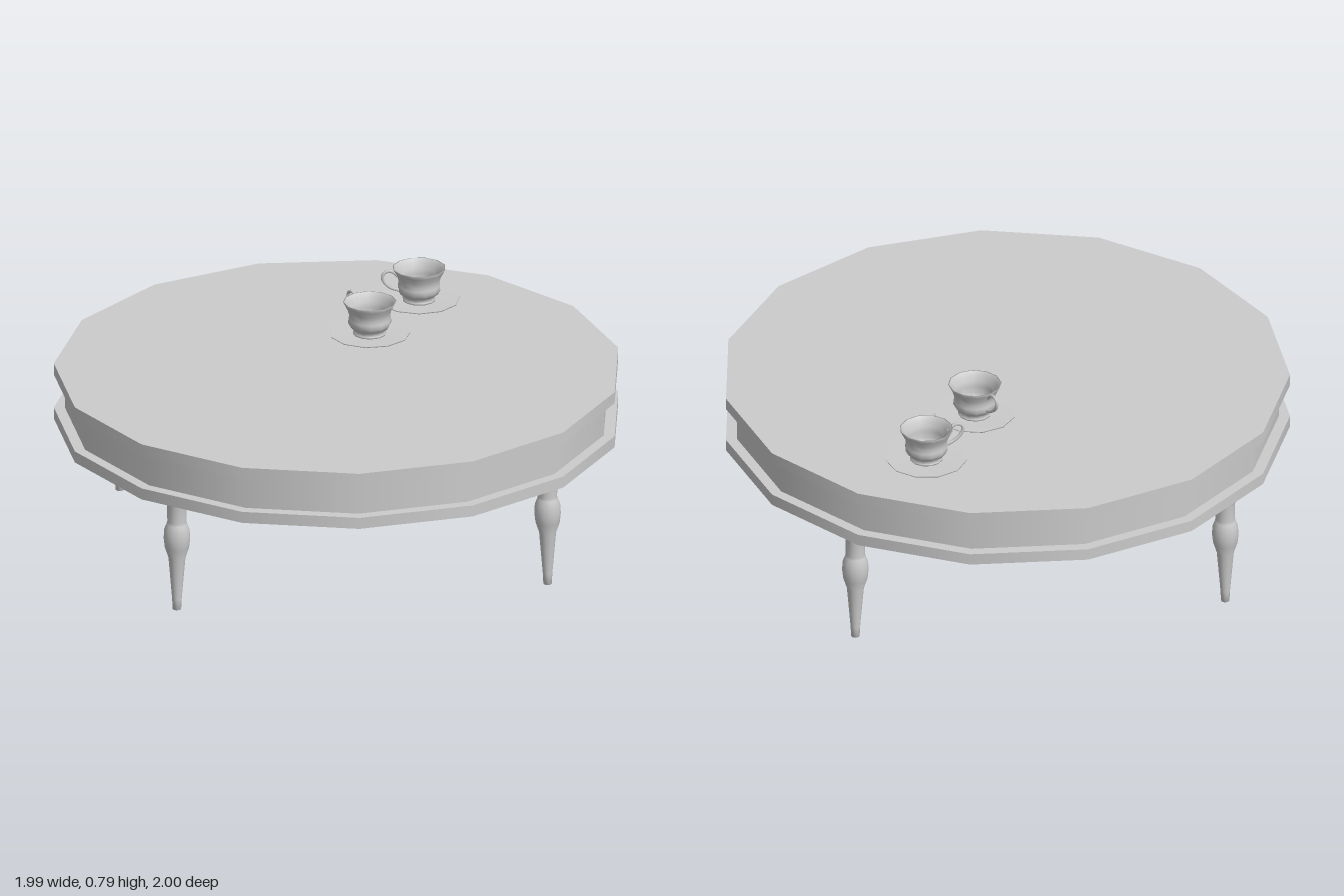
import * as THREE from 'three';

const material = new THREE.MeshStandardMaterial({ color: 0xcccccc });
const thin = new THREE.MeshStandardMaterial({ color: 0xcccccc, side: THREE.DoubleSide });

const CENTRE_X = -0.011;
const SIDES = 15;

function addMesh(parent, name, geometry, mat = material) {
  const mesh = new THREE.Mesh(geometry, mat);
  mesh.name = name;
  parent.add(mesh);
  return mesh;
}

function lathe(points, segments) {
  return new THREE.LatheGeometry(points.map(([r, y]) => new THREE.Vector2(r, y)), segments);
}

// Fifteen-sided disc with one corner pointing along +x
function addDisc(parent, name, radius, bottom, top) {
  const geometry = new THREE.CylinderGeometry(radius, radius, top - bottom, SIDES, 1, false, Math.PI / 2);
  addMesh(parent, name, geometry).position.set(CENTRE_X, (bottom + top) / 2, 0);
}

// Turned leg: tapered foot, vase-shaped swelling, collar rings at the top
const legProfile = [
  [0, 0], [0.015, 0], [0.017, 0.04], [0.03, 0.195], [0.043, 0.235], [0.047, 0.27],
  [0.045, 0.305], [0.037, 0.325], [0.034, 0.335], [0.035, 0.4], [0.041, 0.408],
  [0.041, 0.418], [0.037, 0.424], [0.041, 0.432], [0.041, 0.455],
];

// Cup wall: up the outside, over the rim and down the inside
const cupProfile = [
  [0, 0.004], [0.058, 0.004], [0.06, 0.012], [0.05, 0.019], [0.068, 0.031], [0.077, 0.047],
  [0.076, 0.062], [0.073, 0.075], [0.078, 0.094], [0.088, 0.114], [0.095, 0.127],
  [0.09, 0.127], [0.082, 0.112], [0.073, 0.094], [0.069, 0.075], [0.071, 0.05],
  [0.062, 0.034], [0.042, 0.024], [0, 0.021],
];

const saucerProfile = [
  [0, 0.001], [0.085, 0.001], [0.144, 0.007], [0.144, 0.011], [0.085, 0.005], [0, 0.005],
];

// Ear-shaped handle, pointing along local +x
const handlePath = new THREE.CatmullRomCurve3([
  [0.08, 0.104], [0.095, 0.12], [0.115, 0.127], [0.132, 0.117],
  [0.135, 0.1], [0.122, 0.077], [0.1, 0.06], [0.075, 0.05],
].map(([x, y]) => new THREE.Vector3(x, y, 0)));

function makeCup(name, x, z, handleAngle) {
  const cup = new THREE.Group();
  cup.name = name;
  addMesh(cup, 'saucer', lathe(saucerProfile, 11), thin);
  addMesh(cup, 'cupBody', lathe(cupProfile, 12), thin);
  addMesh(cup, 'cupHandle', new THREE.TubeGeometry(handlePath, 20, 0.006, 6, false), thin);
  cup.position.set(x, 0.662, z);
  cup.rotation.y = handleAngle;
  return cup;
}

export function createModel() {
  const table = new THREE.Group();
  table.name = 'roundTable';

  // Top, recessed apron and lower slab
  addDisc(table, 'tableTop', 1.0055, 0.62, 0.662);
  addDisc(table, 'apron', 0.966, 0.494, 0.62);
  addDisc(table, 'lowerSlab', 1.0055, 0.452, 0.494);

  // Four legs
  const legGeometry = lathe(legProfile, 14);
  for (const x of [-0.686, 0.645]) {
    for (const z of [-0.604, 0.53]) {
      addMesh(table, 'leg', legGeometry).position.set(x, 0, z);
    }
  }

  // Two cups on saucers
  table.add(makeCup('nearCup', 0.152, -0.275, Math.PI * 0.635));
  table.add(makeCup('farCup', 0.38, -0.555, Math.PI * 1.035));
  return table;
}
